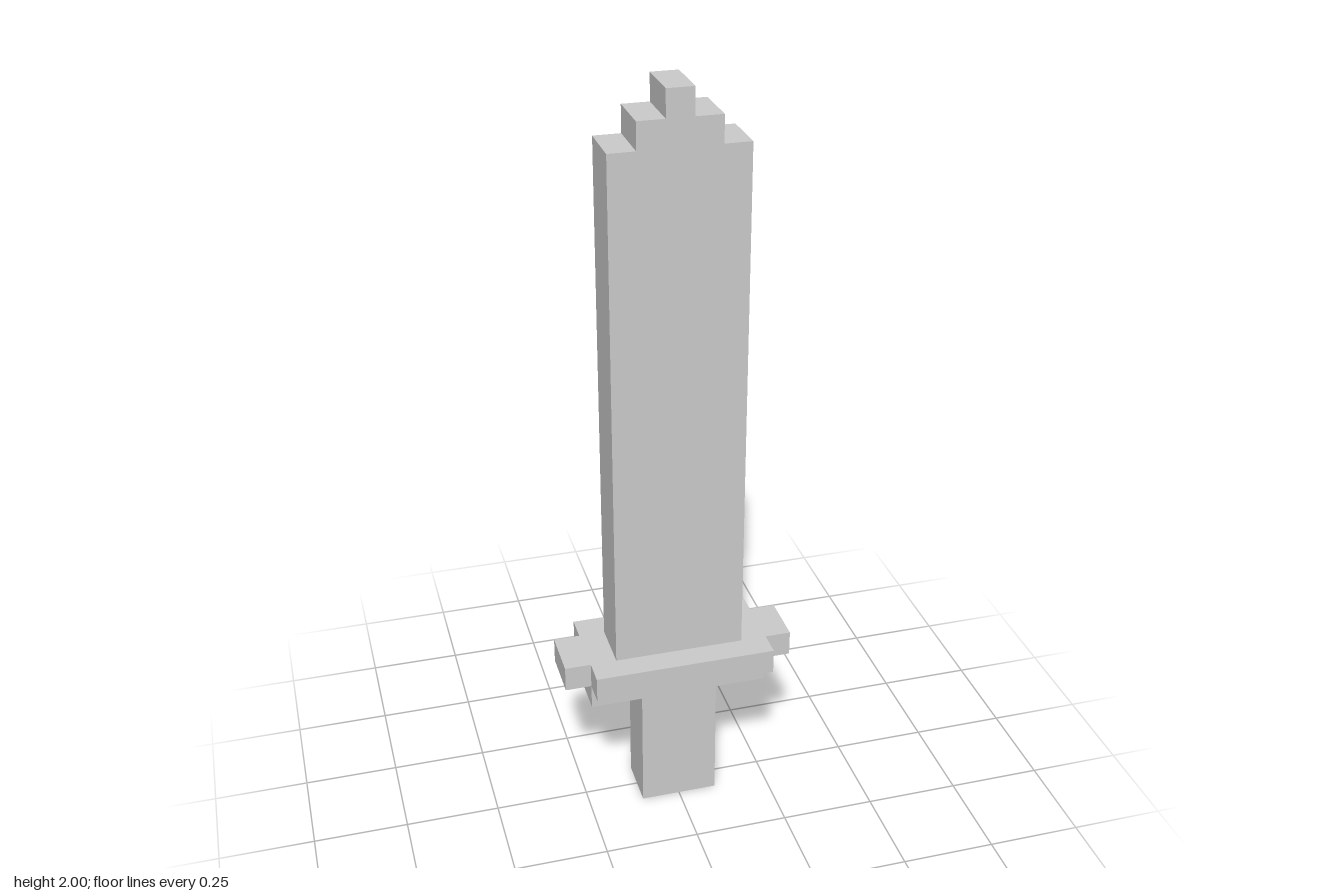
import * as THREE from 'three';

const U = 2 / 29; // edge of one block; the sword is 29 blocks tall

const material = new THREE.MeshStandardMaterial({ color: 0xcccccc, flatShading: true });

// Extrudes an outline mirrored in x; the right half is listed bottom to top, in blocks
function mirroredSlab(name, half, depth) {
  const left = half.map(([x, y]) => [-x, y]).reverse();
  const points = [...half, ...left].map(([x, y]) => new THREE.Vector2(x * U, y * U));
  const geometry = new THREE.ExtrudeGeometry(new THREE.Shape(points), {
    depth: depth * U,
    bevelEnabled: false,
  });
  geometry.translate(0, 0, -depth * U / 2);
  const mesh = new THREE.Mesh(geometry, material);
  mesh.name = name;
  return mesh;
}

export function createModel() {
  const sword = new THREE.Group();
  sword.name = 'sword';

  // Grip, widening into the lower step of the guard
  sword.add(mirroredSlab('grip', [[1.5, 0], [1.5, 5], [3.5, 5], [3.5, 6]], 2));

  // Cross-shaped guard plate, outlined in plan and laid flat
  const guard = mirroredSlab('guard', [[3.5, -2], [3.5, -1], [4.5, -1], [4.5, 1], [3.5, 1], [3.5, 2]], 1);
  guard.rotation.x = -Math.PI / 2;
  guard.position.y = 6.5 * U;
  sword.add(guard);

  // Blade with a stepped tip
  sword.add(mirroredSlab('blade', [[2.5, 7], [2.5, 27], [1.5, 27], [1.5, 28], [0.5, 28], [0.5, 29]], 2));

  return sword;
}
